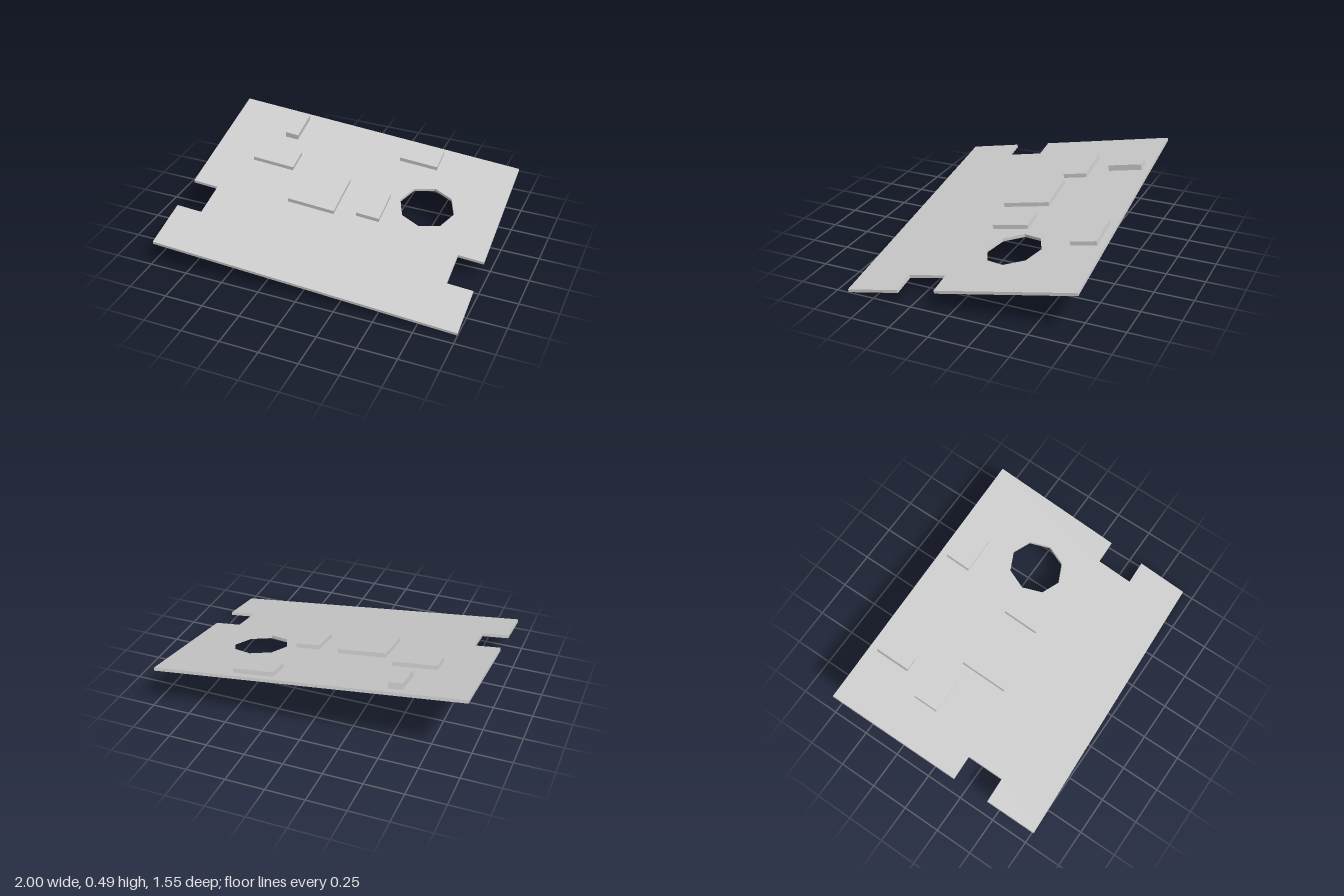
import * as THREE from 'three';

const HALF_W = 0.981, HALF_D = 0.74, THICK = 0.02;
const NOTCH_X = 0.814, NOTCH_BACK = 0.154, NOTCH_FRONT = 0.398;

// [name, x, z, width, depth, height] on the plate's top surface
const BLOCKS = [
  ['backLeftBlock', -0.543, -0.576, 0.088, 0.226, 0.04],
  ['leftBlock', -0.557, -0.251, 0.281, 0.161, 0.028],
  ['centreBlock', -0.181, -0.049, 0.314, 0.314, 0.028],
  ['rightBlock', 0.19, -0.052, 0.153, 0.24, 0.028],
  ['backRightBlock', 0.342, -0.607, 0.259, 0.169, 0.028],
];

export function createModel() {
  const material = new THREE.MeshStandardMaterial({ color: 0xcccccc, flatShading: true });
  const model = new THREE.Group();
  const board = new THREE.Group();
  board.name = 'board';
  model.add(board);

  // Plate outline: right half from back to front, then mirrored
  const half = [
    [HALF_W, -HALF_D], [HALF_W, NOTCH_BACK], [NOTCH_X, NOTCH_BACK],
    [NOTCH_X, NOTCH_FRONT], [HALF_W, NOTCH_FRONT], [HALF_W, HALF_D],
  ];
  const outline = [...half, ...half.map(([x, z]) => [-x, z]).reverse()];
  const shape = new THREE.Shape(outline.map(([x, z]) => new THREE.Vector2(x, -z)));

  // Eight-sided hole
  const hole = [];
  for (let i = 0; i < 8; i++) {
    const t = (i / 8) * Math.PI * 2;
    hole.push(new THREE.Vector2(0.513 + 0.18 * Math.cos(t), 0.172 + 0.18 * Math.sin(t)));
  }
  shape.holes.push(new THREE.Path(hole));

  const plateGeometry = new THREE.ExtrudeGeometry(shape, { depth: THICK, bevelEnabled: false });
  plateGeometry.rotateX(-Math.PI / 2).translate(0, -THICK, 0);
  const plate = new THREE.Mesh(plateGeometry, material);
  plate.name = 'plate';
  board.add(plate);

  // Raised blocks
  for (const [name, x, z, w, d, h] of BLOCKS) {
    const block = new THREE.Mesh(new THREE.BoxGeometry(w, h, d), material);
    block.name = name;
    block.position.set(x, h / 2, z);
    board.add(block);
  }

  // Tilt the whole board down towards the front and its left
  const ex = new THREE.Vector3(1.95, -0.185, -0.1).normalize();
  const ey = new THREE.Vector3(0.045, -0.287, 1.45).cross(ex).normalize();
  const ez = new THREE.Vector3().crossVectors(ex, ey);
  board.quaternion.setFromRotationMatrix(new THREE.Matrix4().makeBasis(ex, ey, ez));
  board.position.set(0.001, 0.2555, 0.002);
  return model;
}
